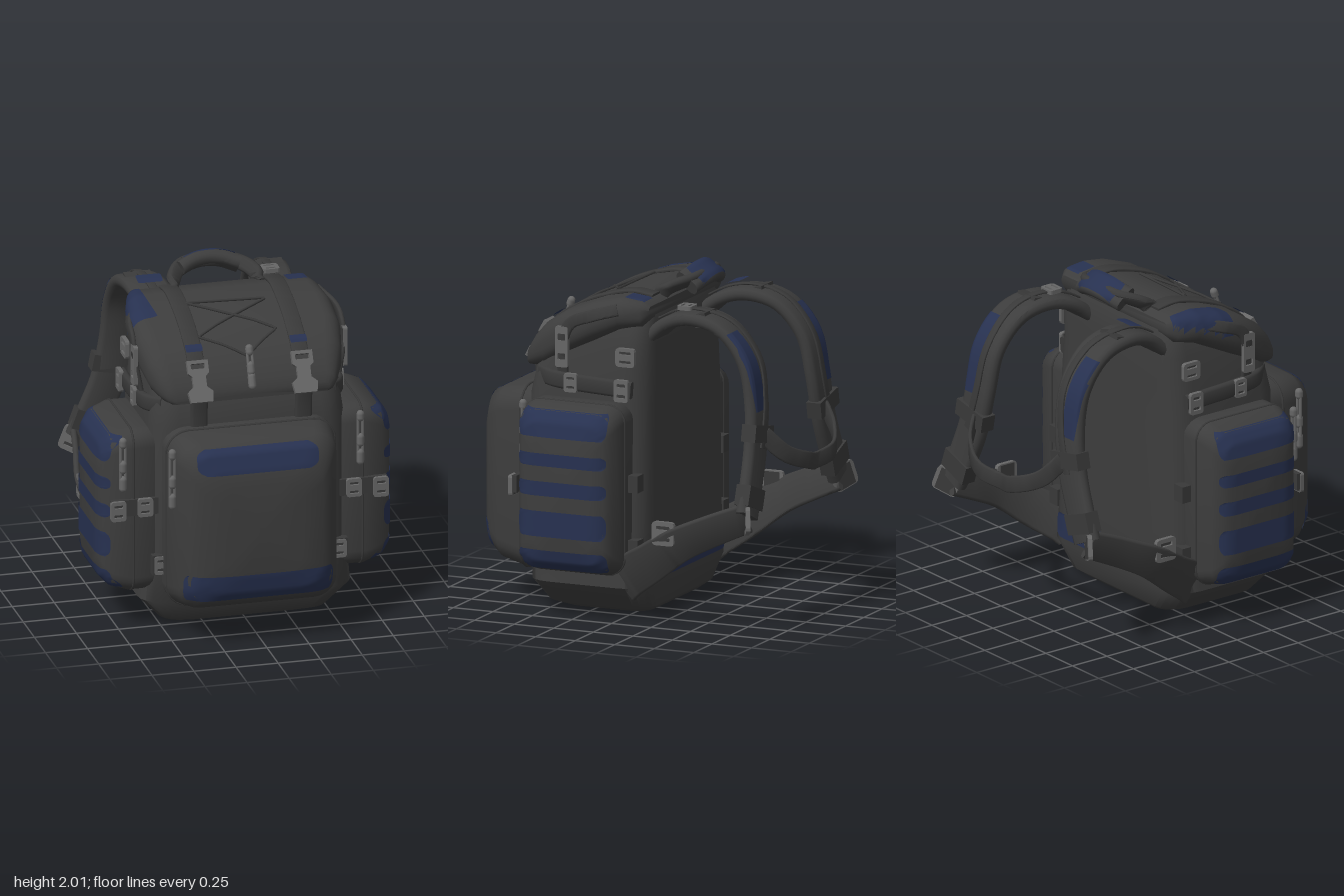
import * as THREE from 'three';
import { toCreasedNormals } from 'three/addons/utils/BufferGeometryUtils.js';

const V = (x, y, z) => new THREE.Vector3(x, y, z);
const paint = (name, color, side = THREE.FrontSide) => Object.assign(new THREE.MeshStandardMaterial({ color, side }), { name });

export function createModel() {
  const model = new THREE.Group();
  model.name = 'backpack';
  const cloth = paint('charcoal cloth', 0x3d3d3d);
  const webbing = paint('dark webbing', 0x393939);
  const blue = paint('navy panel', 0x273150, THREE.DoubleSide);
  const plastic = paint('grey plastic', 0x666666);

  const add = (name, geo, mat, parent = model) => {
    const mesh = new THREE.Mesh(geo, mat);
    mesh.name = name;
    parent.add(mesh);
    return mesh;
  };

  // Outline of a rounded rectangle as [a, b] pairs
  const roundRect = (a0, a1, b0, b1, r, n = 5) => {
    const pts = [];
    [[a1 - r, b1 - r], [a0 + r, b1 - r], [a0 + r, b0 + r], [a1 - r, b0 + r]].forEach(([a, b], q) => {
      for (let i = 0; i <= n; i++) {
        const t = (q + i / n) * Math.PI / 2;
        pts.push([a + r * Math.cos(t), b + r * Math.sin(t)]);
      }
    });
    return pts;
  };
  const flat = pts => pts.map(p => new THREE.Vector2(...p));

  // Closed skin over a row of equal rings, turned outward by its signed volume
  const skin = (rings, crease = 0.8) => {
    const n = rings[0].length, pts = rings.flat(), idx = [];
    for (let i = 0; i < rings.length - 1; i++) for (let j = 0; j < n; j++) {
      const a = i * n + j, b = i * n + (j + 1) % n;
      idx.push(a, b, a + n, b, b + n, a + n);
    }
    [0, rings.length - 1].forEach(i => {
      const c = pts.length;
      pts.push(rings[i].reduce((s, p) => s.add(p), V(0, 0, 0)).divideScalar(n));
      for (let j = 0; j < n; j++) {
        const a = i * n + j, b = i * n + (j + 1) % n;
        i ? idx.push(c, a, b) : idx.push(c, b, a);
      }
    });
    let vol = 0;
    for (let i = 0; i < idx.length; i += 3) vol += pts[idx[i]].dot(V(0, 0, 0).crossVectors(pts[idx[i + 1]], pts[idx[i + 2]]));
    if (vol < 0) idx.reverse();
    const g = new THREE.BufferGeometry().setFromPoints(pts);
    g.setIndex(idx);
    return toCreasedNormals(g, crease);
  };

  // Rows are [position on axis, a0, a1, b0, b1, corner radius]
  const place = { x: (t, a, b) => V(t, b, a), y: (t, a, b) => V(a, t, b), z: (t, a, b) => V(a, b, t) };
  const loft = (axis, rows) => skin(rows.map(([t, ...r]) => roundRect(...r).map(([a, b]) => place[axis](t, a, b))));

  // Flat strap along a smooth path; wide is the direction of its width
  const strap = (pts, w0, w1, thick, wide, steps = 28) => {
    const curve = new THREE.CatmullRomCurve3(pts), rings = [];
    for (let i = 0; i <= steps; i++) {
      const p = curve.getPointAt(i / steps), t = curve.getTangentAt(i / steps), w = w0 + (w1 - w0) * i / steps;
      const u = wide.clone().addScaledVector(t, -wide.dot(t)).normalize(), n = V(0, 0, 0).crossVectors(t, u);
      rings.push(roundRect(-w / 2, w / 2, -thick / 2, thick / 2, thick * 0.4, 2)
        .map(([a, b]) => p.clone().addScaledVector(u, a).addScaledVector(n, b)));
    }
    return skin(rings);
  };
  const tube = (pts, r, closed = false) =>
    new THREE.TubeGeometry(new THREE.CatmullRomCurve3(pts, closed, 'catmullrom', 0.1), pts.length * 5, r, 6, closed);

  // Thin coloured plate laid on a surface by casting a grid along its normal
  const ray = new THREE.Raycaster();
  const patch = (name, target, centre, normal, w, h, trim = 0.08) => {
    const n = normal.clone().normalize(), basis = new THREE.Matrix4().lookAt(n, V(0, 0, 0), V(0, 1, 0));
    const g = new THREE.PlaneGeometry(w, h, 22, 10), pos = g.attributes.position, miss = new Set();
    for (let i = 0; i < pos.count; i++) {
      const p = V(0, 0, 0).fromBufferAttribute(pos, i);
      p.x *= 1 - trim * Math.pow(Math.abs(2 * p.y / h), 4);
      p.applyMatrix4(basis).add(centre).addScaledVector(n, 2);
      ray.set(p, n.clone().negate());
      const hit = ray.intersectObject(target)[0];
      if (hit) p.copy(hit.point).addScaledVector(n, 0.006); else miss.add(i);
      pos.setXYZ(i, p.x, p.y, p.z);
    }
    const old = g.index.array, idx = [];
    for (let i = 0; i < old.length; i += 3) {
      const f = [old[i], old[i + 1], old[i + 2]];
      if (!f.some(k => miss.has(k))) idx.push(...f);
    }
    g.setIndex(idx);
    g.computeVertexNormals();
    return add(name, g, blue);
  };

  // Slotted plastic buckle
  const buckle = (name, p, rot, w, h) => {
    const s = new THREE.Shape(flat(roundRect(-w / 2, w / 2, -h / 2, h / 2, w * 0.15, 2)));
    [-1, 1].forEach(k => s.holes.push(new THREE.Path(flat(roundRect(-w * 0.3, w * 0.3, k * h * 0.24 - h * 0.08, k * h * 0.24 + h * 0.08, 0.004, 1)))));
    const m = add(name, new THREE.ExtrudeGeometry(s, { depth: 0.025, bevelEnabled: false }), plastic);
    m.position.copy(p);
    m.rotation.set(...rot);
    add(name + 'Webbing', new THREE.BoxGeometry(w * 0.7, h * 0.9, 0.014), webbing, m).position.z = 0.004;
  };

  // Waisted side-release clip
  const clip = (p, tilt) => {
    const half = [[.062, .125], [.062, .05], [.04, .03], [.04, -.03], [.075, -.06], [.065, -.12]];
    const s = new THREE.Shape(flat([...half, ...half.map(([x, y]) => [-x, y]).reverse()]));
    s.holes.push(new THREE.Path(flat(roundRect(-.042, .042, .075, .105, .005, 1))));
    const m = add('lidClip', new THREE.ExtrudeGeometry(s, { depth: 0.03, bevelEnabled: false }), plastic);
    m.position.copy(p);
    m.rotation.x = tilt;
  };

  // Zip pull: cord with knots
  const pull = (x, y, z, len, tilt = 0) => {
    const g = new THREE.Group();
    g.name = 'zipPull';
    g.position.set(x, y, z);
    g.rotation.x = tilt;
    [-0.014, 0.014].forEach(k => add('pullCord', new THREE.CylinderGeometry(0.009, 0.009, len, 6), plastic, g).position.set(k, -len / 2, 0));
    [0.02, 0.55, 0.92].forEach((k, i) => add('pullKnot', new THREE.CapsuleGeometry(0.024, 0.02 + 0.015 * i, 3, 8), plastic, g).position.y = -len * k);
    model.add(g);
  };

  // Fabric block such as a loop or sleeve
  const block = (name, p, size, rot = [0, 0, 0]) => {
    const m = add(name, new THREE.BoxGeometry(...size), webbing);
    m.position.copy(p);
    m.rotation.set(...rot);
  };

  // Main bag
  const body = add('mainBag', loft('y', [[0, -.4, .4, -.06, .46, .1], [.04, -.5, .5, -.11, .55, .13], [.18, -.63, .63, -.13, .61, .15],
    [.5, -.6, .6, -.13, .62, .15], [1.25, -.58, .58, -.13, .64, .15], [1.45, -.56, .56, -.13, .6, .15],
    [1.6, -.54, .54, -.13, .5, .12], [1.76, -.51, .51, -.12, .24, .1], [1.8, -.48, .48, -.1, .15, .08]]), cloth);
  patch('backBand', body, V(0, .28, -.13), V(0, 0, -1), 1.1, .15);

  // Lid
  const lid = add('lid', loft('z', [[-.12, -.5, .5, 1.75, 1.82, .03], [-.08, -.55, .54, 1.7, 1.85, .06], [.05, -.59, .57, 1.67, 1.865, .09],
    [.2, -.62, .6, 1.6, 1.835, .1], [.38, -.61, .6, 1.51, 1.77, .1], [.52, -.58, .57, 1.43, 1.68, .1],
    [.6, -.54, .53, 1.41, 1.595, .08], [.645, -.5, .5, 1.41, 1.52, .05], [.665, -.46, .46, 1.415, 1.47, .025]]), cloth);
  patch('lidPanel', lid, V(-.56, 1.8, .09), V(-.5, 1, 0), .38, .2);
  patch('lidTab', lid, V(.44, 1.86, -.03), V(0, 1, 0), .12, .12);
  const onLid = (x, z, lift = 0.01) => {
    ray.set(V(x, 4, z), V(0, -1, 0));
    return V(x, ray.intersectObject(lid)[0].point.y + lift, z);
  };
  for (const x of [-.31, .31]) {
    add('lidStrap', strap([-.08, .05, .2, .35, .5, .58].map(z => onLid(x, z, .004)), .1, .1, .02, V(1, 0, 0)), webbing);
    patch('lidStrapTab', lid, onLid(x, .52), V(0, 1, .8), .1, .05).position.set(0, .014, .01);
    clip(V(x, 1.53, .635), -.5);
    add('lidTail', strap([V(x, 1.44, .655), V(x, 1.35, .645), V(x, 1.26, .64)], .1, .1, .04, V(1, 0, 0), 8), webbing);
  }

  // Lid bungee and its toggle
  const lace = [[0, .57], [-.26, .45], [.2, .21], [-.27, .19], [.2, .44], [0, .57]];
  const lacePts = lace.slice(1).flatMap(([x, z], i) => [0, .25, .5, .75].map(t => onLid(lace[i][0] * (1 - t) + x * t, lace[i][1] * (1 - t) + z * t)));
  add('bungee', tube([...lacePts, onLid(0, .57)], .008), webbing);
  pull(0, 1.69, .6, .2, -.35);

  // Front pocket
  const front = add('frontPocket', loft('z', [[.55, -.52, .48, .19, 1.27, .12], [.7, -.52, .48, .195, 1.265, .13], [.86, -.49, .45, .23, 1.24, .13],
    [.94, -.44, .4, .28, 1.2, .13], [.98, -.37, .34, .35, 1.1, .12], [1, -.24, .21, .45, 1, .1]]), cloth);
  patch('frontTopBand', front, V(-.04, 1.15, 1), V(0, 0, 1), .72, .14, .15);
  patch('frontBottomBand', front, V(-.03, .38, 1), V(0, 0, 1), .88, .16, .04);
  add('frontPiping', tube(roundRect(-.52, .48, .195, 1.265, .13).map(([a, b]) => V(a, b, .7)), .008, true), webbing);
  pull(-.515, 1.18, .82, .32);

  // Carry handle
  add('handleStrap', strap([V(-.27, 1.83, -.05), V(-.26, 1.88, -.12), V(-.18, 1.92, -.22), V(-.03, 1.935, -.24), V(.12, 1.92, -.22), V(.22, 1.88, -.12), V(.23, 1.83, -.05)],
    .09, .09, .05, V(0, .6, -.6)), webbing);
  const grip = add('handleGrip', strap([V(-.21, 1.9, -.2), V(-.12, 1.93, -.23), V(-.03, 1.94, -.24), V(.06, 1.93, -.23), V(.15, 1.9, -.2)], .16, .16, .08, V(0, .5, .8), 12), cloth);
  patch('handlePanel', grip, V(-.03, 1.96, -.25), V(0, .85, -.5), .32, .14);

  for (const s of [-1, 1]) {
    const dy = s < 0 ? -.03 : 0, quarter = s * Math.PI / 2;
    const path = rows => rows.map(([x, y, z]) => V(s * x, y, z));

    // Side pocket with its stripes
    const pocket = add('sidePocket', loft('x', [[.5, -.03, .55, .29, 1.24, .08], [.56, -.05, .58, .27, 1.265, .1], [.7, -.05, .58, .27, 1.265, .1],
      [.8, -.03, .56, .3, 1.23, .1], [.85, .01, .52, .35, 1.17, .1], [.87, .07, .45, .42, 1.08, .09]].map(([x, a, b, c, d, r]) => [s * x, a, b, c + dy, d + dy, r])), cloth);
    for (const [lo, hi] of [[1.085, 1.235], [.915, .99], [.74, .825], [.5, .65], [.3, .42]])
      patch('sideStripe', pocket, V(s * .87, (lo + hi) / 2 + dy, .275), V(s, 0, 0), .56, hi - lo);
    add('pocketPiping', tube(roundRect(-.05, .58, .27 + dy, 1.265 + dy, .1).map(([a, b]) => V(s * .68, b, a)), .007, true), webbing);
    pull(s * (s < 0 ? .75 : .66), 1.22 + dy, .6, .28);

    // Pocket straps and buckles
    block('pocketStrap', V(s * .68, .78, .585), [.28, .1, .03]);
    buckle('pocketBuckle', V(s * .78, .77, .595), [0, 0, 0], .09, .12);
    buckle('pocketBuckle', V(s * .62, .78, .595), [0, 0, 0], .09, .11);
    for (const y of [.8, .42]) block('rearPocketLoop', V(s * .59, y, -.07), [.08, .1, .08]);
    block('frontPocketLoop', V(s * .53, .42, .58), [.1, .12, .09]);
    buckle('frontPocketClip', V(s * .53, .42, .61), [0, 0, 0], .08, .11);

    // Upper side compression strap
    add('compressionStrap', strap(path([[.5, 1.38, .56], [.57, 1.37, .46], [.59, 1.36, .3], [.59, 1.35, .1], [.58, 1.34, -.05]]), .1, .1, .045, V(0, 1, 0)), webbing);
    buckle('compressionBuckle', V(s * .6, 1.34, 0), [0, quarter, 0], .09, .13);
    buckle('compressionBuckle', V(s * .6, 1.36, .32), [0, quarter, 0], .08, .11);
    buckle('sideAnchor', V(s * .565, 1.53, -.01), [0, quarter, 0], .12, .11);

    // Lid side strap
    add('lidSideStrap', strap(path([[.56, 1.8, .05], [.61, 1.76, .2], [.62, 1.71, .32], [.62, 1.6, .37], [.59, 1.42, .38]]), .07, .07, .025, V(0, .5, 1)), webbing);
    buckle('lidSideBuckle', V(s * .61, 1.57, .37), [0, quarter, 0], .08, .24);

    // Padded shoulder strap
    const shoulder = add('shoulderStrap', strap(path([[.345, 1.64, -.1], [.35, 1.72, -.2], [.37, 1.765, -.36], [.39, 1.72, -.56], [.405, 1.55, -.71],
      [.42, 1.3, -.765], [.47, 1.05, -.78], [.55, .85, -.79], [.63, .68, -.8]]), .26, .2, .075, V(1, 0, 0), 40), cloth);
    patch('shoulderPanel', shoulder, V(s * .46, 1.5, -.74), V(0, .45, -.9), .12, .48);
    add('shoulderWebbing', strap(path([[.345, 1.72, -.1], [.35, 1.79, -.24], [.37, 1.81, -.4], [.37, 1.755, -.6], [.37, 1.56, -.765], [.4, 1.3, -.815], [.47, 1.05, -.825]]), .05, .05, .012, V(1, 0, 0)), webbing);
    if (s < 0) patch('shoulderTab', shoulder, V(-.36, 1.78, -.29), V(0, 1, 0), .15, .08).position.y = .03;
    else buckle('shoulderBuckle', V(.36, 1.8, -.3), [-Math.PI / 2, 0, 0], .1, .09);
    block('strapSleeve', V(s * .39, 1.765, -.43), [.16, .08, .075], [.2, 0, 0]);
    block('strapSleeve', V(s * .45, 1.13, -.785), [.25, .1, .09], [0, 0, s * .2]);
    block('strapSleeve', V(s * .58, .78, -.795), [.21, .12, .09], [0, 0, s * .35]);
    buckle('strapEndBuckle', V(s * .66, .66, -.83), [0, s * .5, s * .35], .16, .15);

    // Lower wing strap back to the bag
    add('wingStrap', strap(path([[.65, .67, -.8], [.68, .595, -.62], [.72, .49, -.4], [.69, .355, -.2], [.61, .245, -.03], [.58, .21, .01]]), .19, .26, .035, V(s * .35, 1, 0)), cloth);
    buckle('wingBuckle', V(s * .74, .56, -.33), [0, quarter, 0], .14, .14);
  }

  // Chest strap
  add('chestStrap', strap([[-.42, 1.12, -.81], [-.33, 1, -.91], [-.15, .93, -.985], [0, .9, -.95], [.15, .93, -.985], [.33, 1, -.91], [.42, 1.12, -.81]].map(p => V(...p)), .1, .1, .022, V(0, 1, 0)), webbing);
  return model;
}
